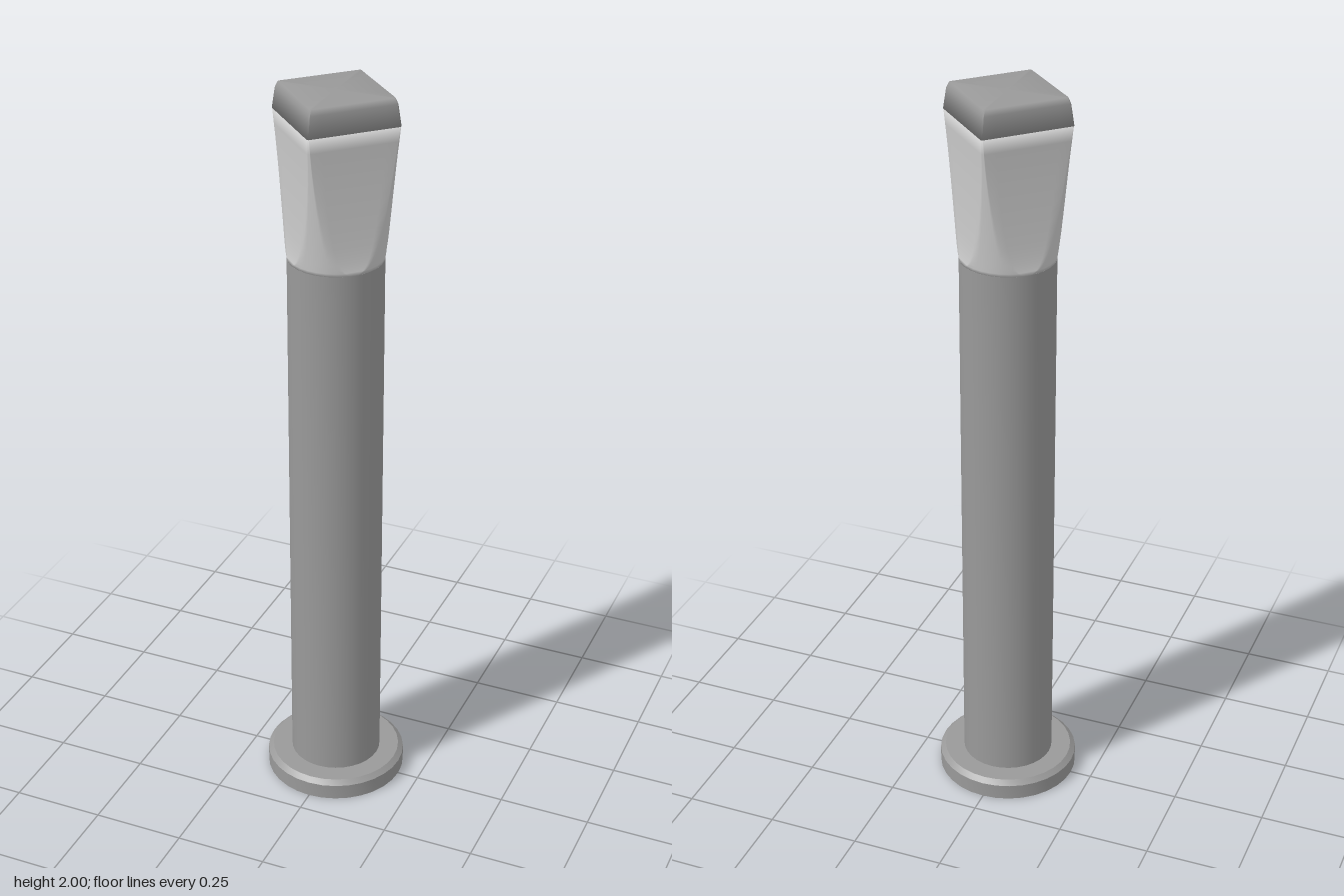
import * as THREE from 'three';
import { toCreasedNormals } from 'three/addons/utils/BufferGeometryUtils.js';

const metal = new THREE.MeshStandardMaterial({ color: 0x999999 });
const lens = new THREE.MeshStandardMaterial({ color: 0xcccccc });

// Cross-section: a circle of radius c cut by four flats at distance a,
// the flats facing the diagonals so the corners lie on the x and z axes.
function section(a, c) {
  const flat = Math.acos(a / c), ring = [];
  const flatSteps = 10, arcSteps = 6;
  for (let q = 0; q < 4; q++) {
    const mid = Math.PI / 4 + q * Math.PI / 2;
    for (let i = 0; i < flatSteps; i++) {
      const u = (i / flatSteps * 2 - 1) * flat;
      ring.push([mid + u, a / Math.cos(u)]);
    }
    for (let i = 0; i < arcSteps; i++) {
      const u = flat + (i / arcSteps) * (Math.PI / 2 - 2 * flat);
      ring.push([mid + u, c]);
    }
  }
  return ring;
}

// Skins a stack of sections [y, a, c], closes both ends and shades it all smooth.
function loft(levels) {
  const pos = [], index = [];
  let n = 0;
  for (const [y, a, c] of levels) {
    const ring = section(a, c);
    n = ring.length;
    for (const [t, r] of ring) pos.push(r * Math.cos(t), y, -r * Math.sin(t));
  }
  const last = (levels.length - 1) * n, bottom = last + n, top = bottom + 1;
  pos.push(0, levels[0][0], 0, 0, levels[levels.length - 1][0], 0);
  for (let i = 0; i < n; i++) {
    const j = (i + 1) % n;
    for (let l = 0; l < last; l += n) {
      index.push(l + i, l + j, l + j + n, l + i, l + j + n, l + i + n);
    }
    index.push(j, i, bottom, last + i, last + j, top);
  }
  const g = new THREE.BufferGeometry();
  g.setAttribute('position', new THREE.Float32BufferAttribute(pos, 3));
  g.setIndex(index);
  g.computeVertexNormals();
  return g;
}

function lathe(profile) {
  const pts = profile.map(([r, y]) => new THREE.Vector2(r, y));
  return toCreasedNormals(new THREE.LatheGeometry(pts, 32), 0.5);
}

export function createModel() {
  const model = new THREE.Group();
  const add = (name, geometry, material) => {
    const mesh = new THREE.Mesh(geometry, material);
    mesh.name = name;
    model.add(mesh);
  };

  // Round foot plate with a chamfered rim
  add('basePlate', lathe([[0, 0], [0.191, 0], [0.191, 0.043], [0.177, 0.055], [0, 0.055]]), metal);

  // Tall round post
  add('post', lathe([[0.124, 0.05], [0.124, 1.56], [0, 1.56]]), metal);

  // Flared lamp head: round at the post, square under the cap
  const waist = new THREE.CatmullRomCurve3([
    [0, 0.1235], [0.06, 0.119], [0.18, 0.115], [0.45, 0.1135], [0.75, 0.116], [1, 0.1215],
  ].map(([t, a]) => new THREE.Vector3(t, a, 0)));
  const headLevels = waist.getPoints(12).map(({ x, y }) =>
    [1.56 + 0.37 * x, y, 0.124 + 0.045 * x]);
  add('lampHead', loft(headLevels), lens);

  // Square cap, tapering to a softly rounded top edge
  add('cap', loft([
    [1.93, 0.122, 0.17],
    [1.985, 0.1155, 0.161],
    [2, 0.11, 0.1535],
  ]), metal);

  return model;
}
